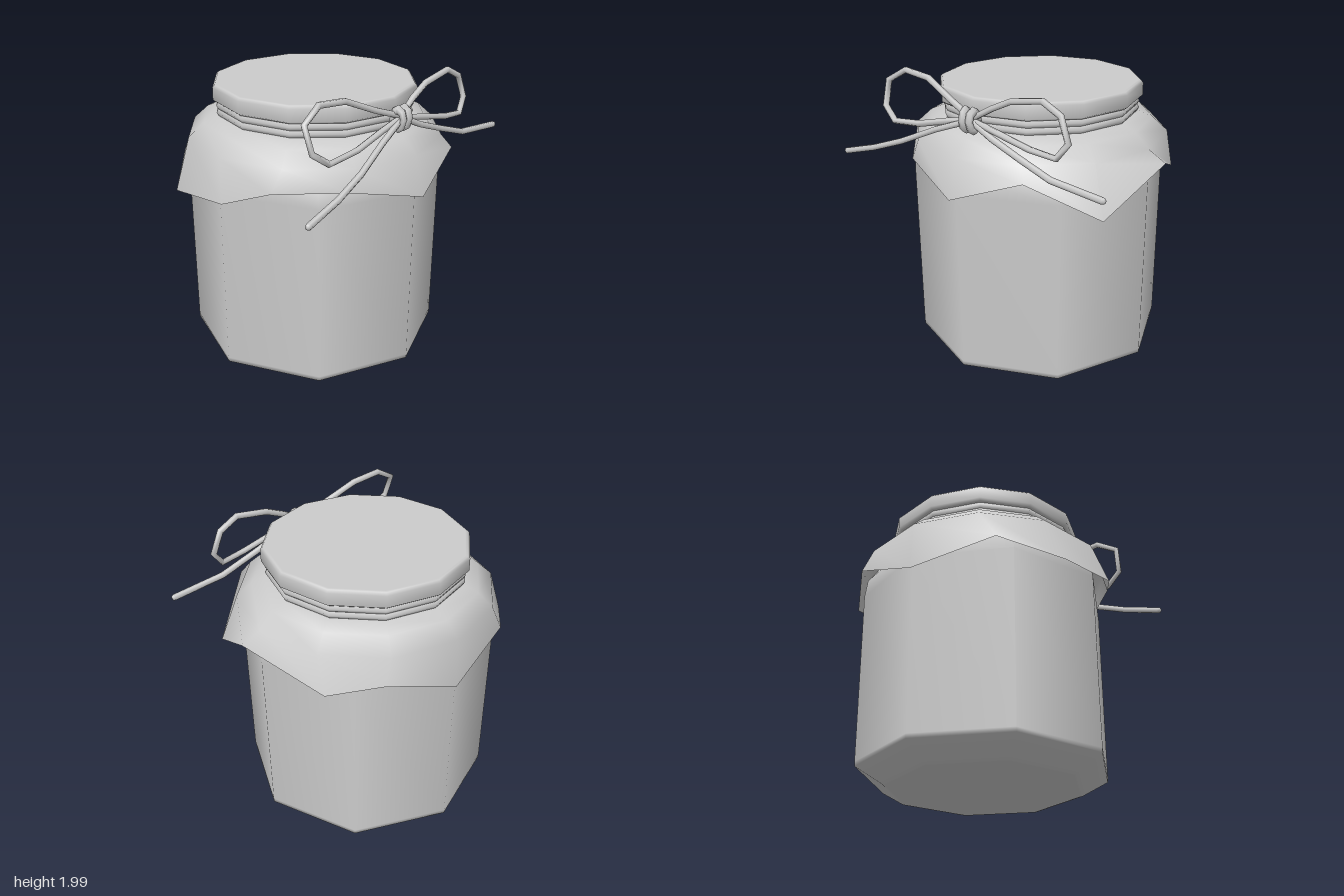
import * as THREE from 'three';

const CX = -0.025, CZ = 0.02; // jar axis
const material = new THREE.MeshStandardMaterial({ color: 0xcccccc });
const clothMaterial = new THREE.MeshStandardMaterial({ color: 0xcccccc, side: THREE.DoubleSide });

function add(parent, name, geometry, mat = material) {
  const mesh = new THREE.Mesh(geometry, mat);
  mesh.name = name;
  parent.add(mesh);
  return mesh;
}

function lathe(profile, sides) {
  return new THREE.LatheGeometry(profile.map(([r, y]) => new THREE.Vector2(r, y)), sides)
    .translate(CX, 0, CZ);
}

// Cord with one segment per control point, giving the angular bends
function cord(points, radius = 0.021) {
  const curve = new THREE.CatmullRomCurve3(points.map((p) => new THREE.Vector3(...p)));
  curve.getPointAt = (t, target) => curve.getPoint(t, target);
  curve.getTangentAt = (t, target) => curve.getTangent(t, target);
  return new THREE.TubeGeometry(curve, points.length - 1, radius, 6);
}

// Cloth skirt: regular rings over the shoulder, then an uneven hem
function skirt() {
  const sides = 12;
  const rings = [[0.58, 1.705], [0.66, 1.69], [0.745, 1.655], [0.845, 1.565]];
  const hem = [
    [0.89, 1.31, 0.02], [0.71, 1.43, 0.5], [0.35, 1.41, 0.8], [0.07, 1.31, 0.94],
    [-0.44, 1.24, 0.88], [-0.74, 1.36, 0.56], [-0.89, 1.23, 0.02], [-0.79, 1.41, -0.47],
    [-0.52, 1.3, -0.72], [-0.02, 1.5, -0.95], [0.46, 1.24, -0.82], [0.76, 1.48, -0.45],
  ];
  const positions = [], index = [];
  for (const [r, y] of rings) {
    for (let i = 0; i < sides; i++) {
      const a = (i / sides) * Math.PI * 2;
      positions.push(CX + r * Math.cos(a), y, CZ + r * Math.sin(a));
    }
  }
  positions.push(...hem.flat());
  for (let k = 0; k < rings.length; k++) {
    for (let i = 0; i < sides; i++) {
      const a = k * sides + i, b = k * sides + (i + 1) % sides;
      index.push(a, b, a + sides, b, b + sides, a + sides);
    }
  }
  const geometry = new THREE.BufferGeometry();
  geometry.setAttribute('position', new THREE.Float32BufferAttribute(positions, 3));
  geometry.setIndex(index);
  geometry.computeVertexNormals();
  return geometry;
}

export function createModel() {
  const model = new THREE.Group();
  model.name = 'jar';

  // Eight-sided jar body with chamfered foot and hidden shoulder
  add(model, 'jarBody', lathe([
    [0, 0], [0.64, 0], [0.66, 0.005], [0.84, 0.11], [0.842, 0.14],
    [0.848, 1.32], [0.83, 1.45], [0.75, 1.56], [0.6, 1.64], [0.56, 1.7], [0.56, 1.8],
  ], 8));

  // Cloth pulled over the lid, gathered at the neck and flared below
  const cloth = new THREE.Group();
  cloth.name = 'cloth';
  model.add(cloth);
  add(cloth, 'clothTop', lathe([
    [0.58, 1.7], [0.6, 1.775], [0.655, 1.785], [0.675, 1.8], [0.675, 1.88],
    [0.66, 1.897], [0.645, 1.9], [0, 1.9],
  ], 12), clothMaterial);
  add(cloth, 'clothSkirt', skirt(), clothMaterial);

  // Cord wound twice round the neck
  for (const y of [1.76, 1.715]) {
    add(model, 'neckCord', new THREE.TorusGeometry(0.627, 0.028, 6, 12)
      .rotateX(Math.PI / 2).translate(CX, y, CZ));
  }

  // Bow on the left side: two loops, two tails and a knot
  const bow = new THREE.Group();
  bow.name = 'bow';
  model.add(bow);
  add(bow, 'frontLoop', cord([
    [0.68, 1.78, 0], [0.64, 1.85, 0.2], [0.6, 1.95, 0.43], [0.59, 1.97, 0.64],
    [0.61, 1.89, 0.78], [0.66, 1.73, 0.77], [0.69, 1.65, 0.66], [0.7, 1.675, 0.43],
    [0.69, 1.73, 0.2], [0.68, 1.77, 0],
  ]));
  add(bow, 'backLoop', cord([
    [0.68, 1.78, 0], [0.66, 1.86, -0.14], [0.65, 1.925, -0.28], [0.65, 1.965, -0.51],
    [0.65, 1.9, -0.64], [0.66, 1.75, -0.7], [0.68, 1.655, -0.63], [0.69, 1.675, -0.45],
    [0.69, 1.73, -0.2], [0.68, 1.77, 0],
  ]));
  const tails = {
    frontTail: [[0.69, 1.77, 0], [0.74, 1.68, 0.25], [0.79, 1.57, 0.5], [0.82, 1.49, 0.73], [0.835, 1.42, 0.985]],
    backTail: [[0.69, 1.77, 0], [0.7, 1.69, -0.17], [0.71, 1.615, -0.38], [0.72, 1.535, -0.62], [0.73, 1.5, -0.985]],
  };
  for (const [name, points] of Object.entries(tails)) {
    add(bow, name, cord(points));
    add(bow, name + 'End', new THREE.SphereGeometry(0.021, 6, 4).translate(...points.at(-1)));
  }
  for (const z of [-0.02, 0.04]) {
    const wrap = add(bow, 'knotWrap', new THREE.TorusGeometry(0.05, 0.028, 6, 8));
    wrap.scale.set(0.75, 1.15, 1);
    wrap.rotation.y = z * 4;
    wrap.position.set(0.69, 1.77, z);
  }

  return model;
}
